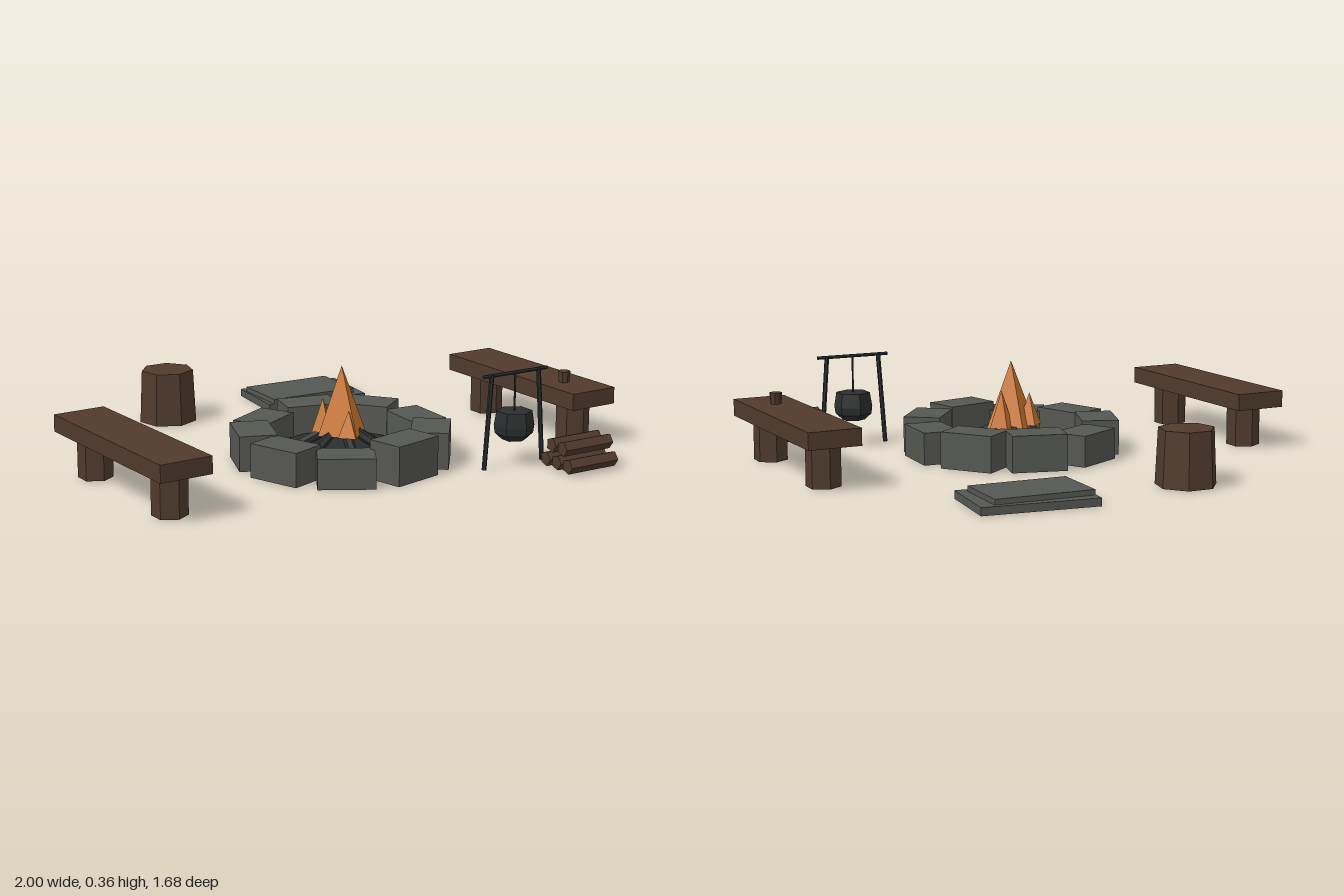
import * as THREE from 'three';

const mat = (name, color) => Object.assign(new THREE.MeshStandardMaterial({ color, flatShading: true }), { name });

export function createModel() {
  const stone = mat('stone', 0x555752);
  const wood = mat('wood', 0x503a2c);
  const iron = mat('iron', 0x2b2d2e);
  const flame = mat('flame', 0xcc762c);
  const root = new THREE.Group();
  root.name = 'campfireSite';

  const add = (parent, name, geometry, material, x = 0, y = 0, z = 0, ry = 0) => {
    const mesh = new THREE.Mesh(geometry, material);
    mesh.name = name;
    mesh.position.set(x, y, z);
    mesh.rotation.y = ry;
    parent.add(mesh);
    return mesh;
  };
  const group = (name, x, z, ry = 0) => {
    const g = new THREE.Group();
    g.name = name;
    g.position.set(x, 0, z);
    g.rotation.y = ry;
    root.add(g);
    return g;
  };
  // Straight rod between two points
  const rod = (parent, name, a, b, r, sides, material) => {
    const p = new THREE.Vector3(...a), d = new THREE.Vector3(...b).sub(p);
    const mesh = add(parent, name, new THREE.CylinderGeometry(r, r, d.length(), sides), material);
    mesh.position.copy(p).addScaledVector(d, 0.5);
    mesh.quaternion.setFromUnitVectors(new THREE.Vector3(0, 1, 0), d.normalize());
    return mesh;
  };

  // Fire pit: ring of nine stones around an ash bed
  const pit = group('firePit', 0, 0.17);
  const heights = [0.125, 0.14, 0.15, 0.115, 0.13, 0.135, 0.12, 0.14, 0.14];
  const twists = [-0.05, 0.04, 0.06, 0, 0, 0, -0.02, -0.06, -0.04];
  heights.forEach((h, i) => {
    const a = i * Math.PI * 2 / 9;
    add(pit, 'ringStone', new THREE.BoxGeometry(0.145, h, 0.212), stone,
      0.337 * Math.cos(a), h / 2, 0.337 * Math.sin(a), -a + twists[i]);
  });
  add(pit, 'ashBed', new THREE.CylinderGeometry(0.268, 0.268, 0.03, 14), iron, 0, 0.016, 0);

  // Charred logs leaning towards the middle
  for (let i = 0; i < 6; i++) {
    const a = (-15 + i * 60) * Math.PI / 180, c = Math.cos(a), s = Math.sin(a);
    rod(pit, 'charredLog', [0.2 * c, 0.02, 0.2 * s], [0.02 * c, 0.13, 0.02 * s], 0.019, 6, iron);
  }

  // Flames: x, z, base y, tip y, radius
  [[0, 0, 0.1, 0.36, 0.105], [0.065, -0.05, 0.11, 0.255, 0.05],
    [-0.062, -0.035, 0.11, 0.235, 0.05], [-0.01, 0.065, 0.1, 0.2, 0.048]].forEach(([x, z, y0, y1, r]) =>
    add(pit, 'flame', new THREE.ConeGeometry(r, y1 - y0, 4), flame, x, (y0 + y1) / 2, z));

  // Benches
  for (const [name, x, ry] of [['leftBench', 0.889, 0.017], ['rightBench', -0.887, 0.032]]) {
    const bench = group(name, x, 0.17, ry);
    add(bench, 'seat', new THREE.BoxGeometry(0.205, 0.065, 0.785), wood, 0, 0.1925, 0);
    for (const z of [-0.272, 0.272])
      add(bench, 'leg', new THREE.CylinderGeometry(0.065, 0.065, 0.16, 6), wood, 0, 0.08, z);
  }
  add(root, 'cup', new THREE.CylinderGeometry(0.025, 0.021, 0.044, 7), wood, 0.887, 0.246, 0.39);

  // Stump seat
  add(root, 'stump', new THREE.CylinderGeometry(0.105, 0.115, 0.21, 7), wood, -0.297, 0.105, -0.665);

  // Stacked flat slabs
  add(root, 'lowerSlab', new THREE.BoxGeometry(0.44, 0.03, 0.29), stone, 0.345, 0.015, -0.668, -0.11);
  add(root, 'upperSlab', new THREE.BoxGeometry(0.38, 0.02, 0.242), stone, 0.327, 0.04, -0.66, -0.035);

  // Cooking frame with hanging pot
  const frame = group('cookingFrame', 0.495, 0.587);
  for (const s of [-1, 1])
    rod(frame, 'post', [s * 0.135, 0, 0], [s * 0.108, 0.36, 0], 0.009, 6, iron);
  rod(frame, 'crossbar', [-0.147, 0.356, 0], [0.147, 0.356, 0], 0.007, 6, iron);
  rod(frame, 'hanger', [0, 0.2, 0], [0, 0.356, 0], 0.004, 5, iron);
  const profile = [[0, 0.094], [0.045, 0.1], [0.072, 0.125], [0.076, 0.155], [0.067, 0.21], [0, 0.21]];
  add(frame, 'pot', new THREE.LatheGeometry(profile.map(p => new THREE.Vector2(...p)), 6), iron);

  // Firewood stack
  const pile = group('firewood', 0.678, 0.75);
  [[-0.064, 0.037], [0, 0.037], [0.064, 0.037], [-0.032, 0.097], [0.032, 0.097]].forEach(([z, y]) =>
    rod(pile, 'log', [-0.109, y, z], [0.109, y, z], 0.029, 5, wood));

  return root;
}
